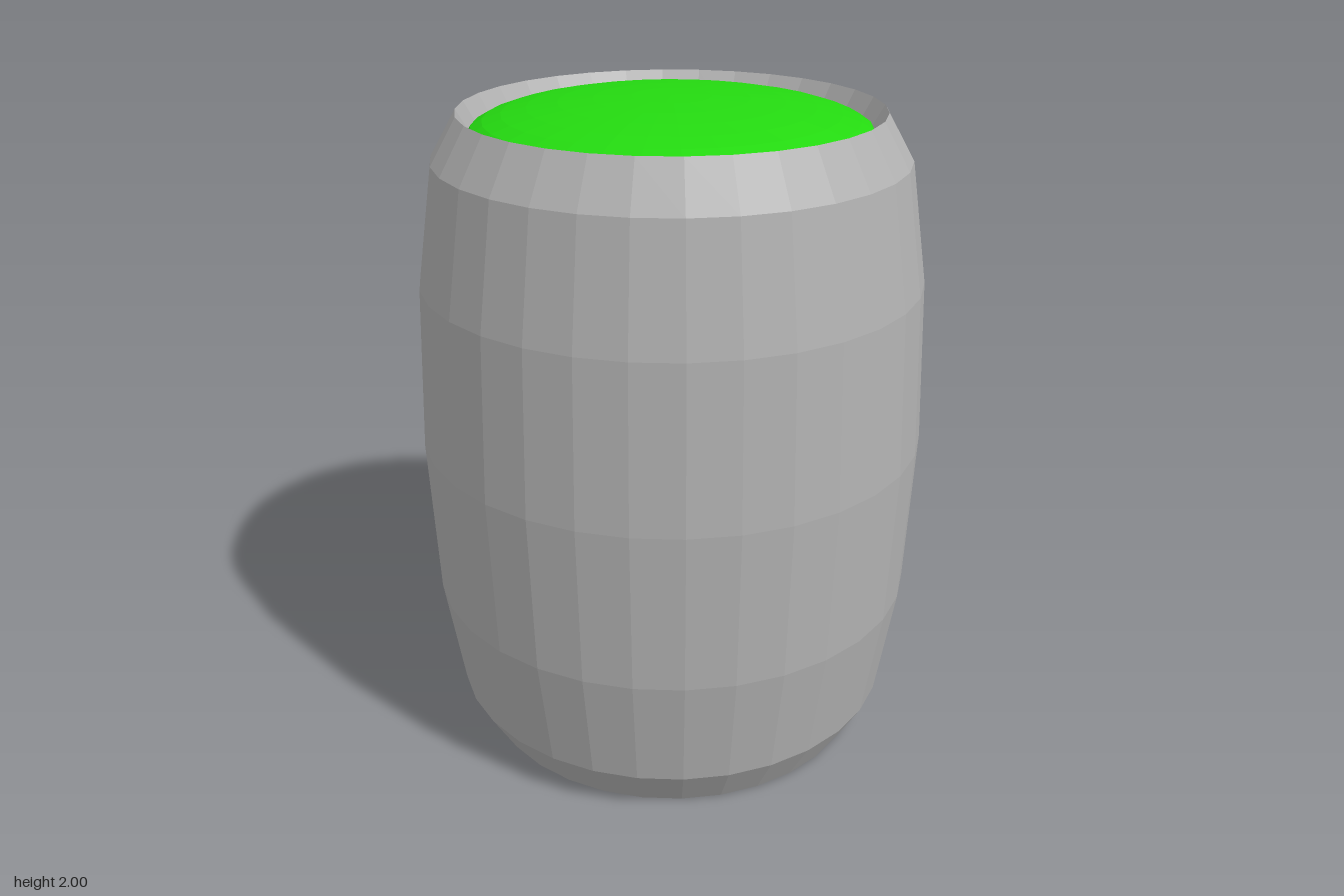
import * as THREE from 'three';

const SEGMENTS = 32;

export function createModel() {
  const group = new THREE.Group();
  group.name = 'barrel';

  const metal = new THREE.MeshStandardMaterial({ color: 0xb2b2b2, flatShading: true });
  metal.name = 'grey metal';
  const green = new THREE.MeshStandardMaterial({ color: 0x24da10, flatShading: true });
  green.name = 'bright green liquid';

  // Thick hollow shell: bulging outside from bottom to top, straight bore back down
  const profile = [
    [0.617, 0], [0.695, 0.135], [0.75, 0.49], [0.77, 0.983],
    [0.75, 1.475], [0.695, 1.832], [0.617, 1.966],
    [0.54, 1.832], [0.54, 0.135], [0.617, 0],
  ].map(([r, y]) => new THREE.Vector2(r, y));
  const shell = new THREE.Mesh(new THREE.LatheGeometry(profile, SEGMENTS), metal);
  shell.name = 'barrelShell';
  group.add(shell);

  // Flattened ball of liquid bulging just above the rim
  const ball = new THREE.SphereGeometry(0.588, SEGMENTS, 16);
  ball.scale(1, 0.102 / 0.588, 1);
  const liquid = new THREE.Mesh(ball, green);
  liquid.name = 'liquid';
  liquid.position.y = 1.898;
  group.add(liquid);

  return group;
}
